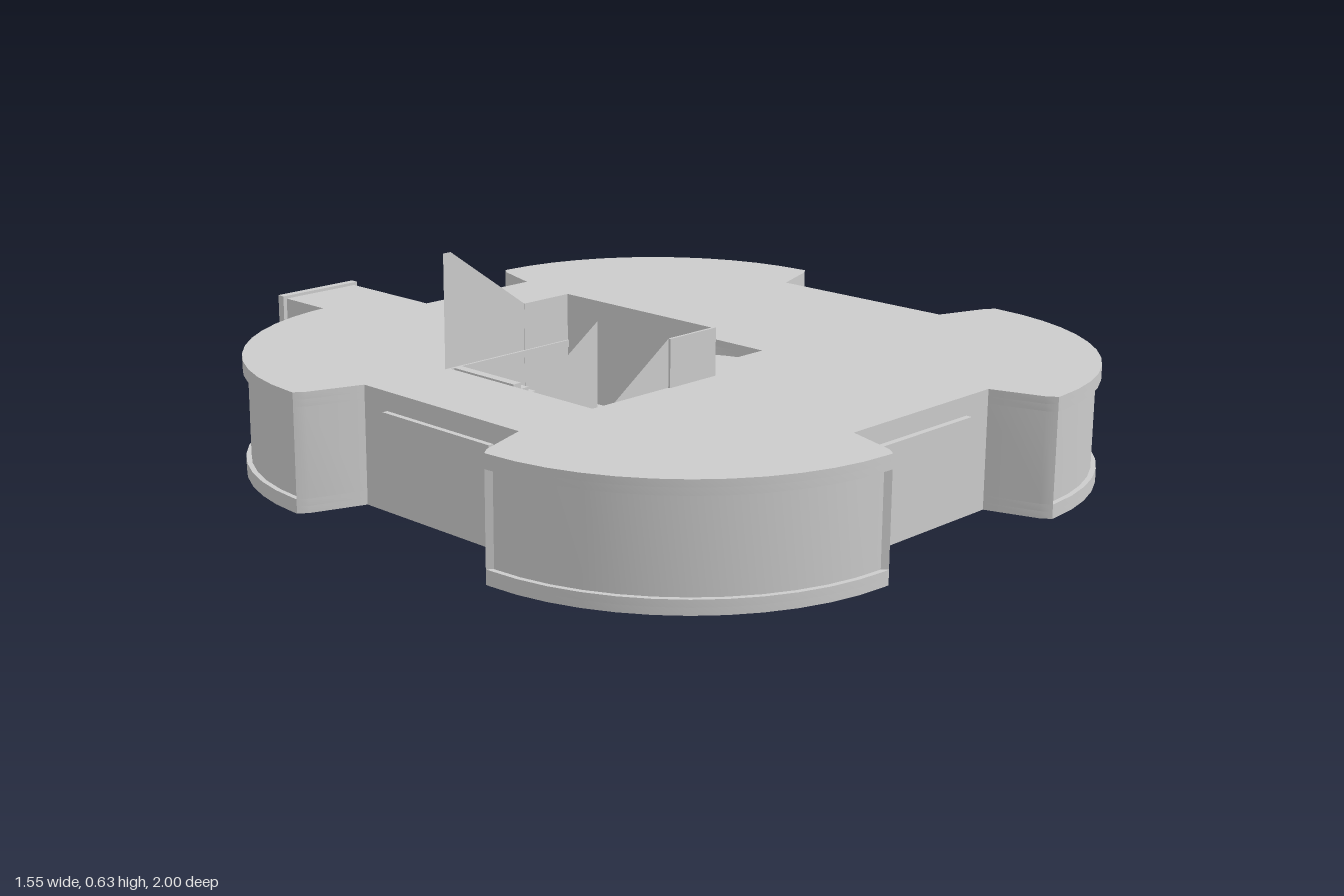
import * as THREE from 'three';
import { toCreasedNormals } from 'three/addons/utils/BufferGeometryUtils.js';

const MID_Z = 0.205; // centre of the building plan
const LOBE = 0.515, PANE = 0.504;
const STAIR_HOLE = [-0.44, -0.1, 0.01, 0.42];
const SHAFT_HOLE = [-0.08, 0.12, 0.07, 0.36];

const grey = new THREE.MeshStandardMaterial({ color: 0xcccccc });
const thin = new THREE.MeshStandardMaterial({ color: 0xcccccc, side: THREE.DoubleSide });

export function createModel() {
  const model = new THREE.Group();

  function add(name, geometry, material = grey) {
    const mesh = new THREE.Mesh(geometry, material);
    mesh.name = name;
    model.add(mesh);
    return mesh;
  }

  // box given by its limits
  function box(name, x0, x1, y0, y1, z0, z1) {
    const mesh = add(name, new THREE.BoxGeometry(x1 - x0, y1 - y0, z1 - z0));
    mesh.position.set((x0 + x1) / 2, (y0 + y1) / 2, (z0 + z1) / 2);
  }

  // clover plan with four rounded lobes and four flat notches
  function plan(r, inset = 0) {
    const quarter = [[0.64 - inset, 0.225], [0.755 - inset, 0.265], [0.26 + LOBE - inset, 0.28]];
    for (let i = 0; i <= 12; i++) {
      const a = 0.02 + (i / 12) * (Math.PI / 2 - 0.04);
      quarter.push([0.26 + (r - inset) * Math.cos(a), 0.28 + (r - inset) * Math.sin(a)]);
    }
    quarter.push([0.26, 0.28 + LOBE - inset], [0.245, 0.775 - inset], [0.21, 0.665 - inset]);
    const points = [];
    [[1, 1], [-1, 1], [-1, -1], [1, -1]].forEach(([sx, sz]) => {
      const part = quarter.map(([x, z]) => new THREE.Vector2(x * sx, z * sz));
      points.push(...(sx * sz < 0 ? part.reverse() : part));
    });
    return points;
  }

  const rect = ([x0, x1, z0, z1]) => [[x0, z0], [x1, z0], [x1, z1], [x0, z1]]
    .map(([x, z]) => new THREE.Vector2(x, MID_Z - z));

  // horizontal layer of the building between two heights
  function layer(name, outline, holes, y0, y1) {
    const shape = new THREE.Shape(outline);
    holes.forEach((h) => shape.holes.push(new THREE.Path(h)));
    const geo = new THREE.ExtrudeGeometry(shape, { depth: y1 - y0, bevelEnabled: false });
    geo.rotateX(-Math.PI / 2).translate(0, y0, MID_Z);
    add(name, toCreasedNormals(geo, 0.4));
  }

  // floor, roof and outer walls; the lobes carry slightly recessed windows
  const openings = [rect(STAIR_HOLE), rect(SHAFT_HOLE)];
  const inside = [plan(PANE, 0.03)];
  layer('floor', plan(LOBE), openings, 0.15, 0.165);
  layer('lowerWall', plan(LOBE), inside, 0.165, 0.18);
  layer('windowWall', plan(PANE), inside, 0.18, 0.37);
  layer('upperWall', plan(LOBE), inside, 0.37, 0.385);
  layer('roof', plan(LOBE), openings, 0.385, 0.4);

  // walls lining the light shaft
  const [sx0, sx1, sz0, sz1] = SHAFT_HOLE;
  layer('shaftWall', rect([sx0 - 0.01, sx1 + 0.01, sz0 - 0.01, sz1 + 0.01]), [rect(SHAFT_HOLE)], 0.145, 0.398);

  // shallow panels in the notches
  box('frontPanel', -0.14, 0.14, 0.17, 0.36, 0.865, 0.883);
  for (const s of [-1, 1]) {
    box('sidePanel', Math.min(s * 0.635, s * 0.652), Math.max(s * 0.635, s * 0.652), 0.17, 0.36, 0.05, 0.36);
  }

  // U-shaped staircase: up the front flight, over the landing, back along the rear flight
  const STEPS = 10, run = 0.2 / STEPS, rise = 0.125 / STEPS;
  for (let i = 0; i < STEPS; i++) {
    const x = -0.43 + i * run;
    const yFront = 0.15 + (i + 1) * rise;
    const yBack = 0.4 - i * rise;
    box('frontStep', x, x + run, yFront - 0.022, yFront, 0.225, 0.415);
    box('backStep', x, x + run, yBack - 0.022, yBack, 0.005, 0.188);
  }
  box('landing', -0.23, -0.1, 0.255, 0.275, 0.005, 0.42);

  // sheet walls beside the flights
  function sheet(name, z, corners) {
    const shape = new THREE.Shape(corners.map(([x, y]) => new THREE.Vector2(x, y)));
    add(name, new THREE.ShapeGeometry(shape).translate(0, 0, z), thin);
  }
  sheet('rearStairWall', 0.005, [[-0.45, 0.15], [-0.43, 0.15], [-0.23, 0.01], [-0.23, 0.5], [-0.43, 0.64], [-0.45, 0.64]]);
  sheet('innerStairWallLower', 0.19, [[-0.43, 0.15], [-0.23, 0.01], [-0.23, 0.27], [-0.43, 0.39]]);
  for (const z of [0.222, 0.42]) {
    sheet('frontStairWall', z, [[-0.43, 0.15], [-0.23, 0.25], [-0.23, 0.5], [-0.38, 0.4], [-0.43, 0.365]]);
  }

  // walls around the landing, standing above the roof
  box('landingEndWall', -0.105, -0.098, 0.255, 0.5, 0, 0.425);
  box('landingRearWall', -0.23, -0.1, 0.255, 0.5, 0, 0.006);
  box('landingFrontWall', -0.23, -0.1, 0.255, 0.5, 0.419, 0.425);

  // hollow entrance corridor at the rear
  function tube(name, w, y0, y1, t, z0, z1) {
    const frame = (h, a, b) => [[-h, a], [h, a], [h, b], [-h, b]].map(([x, y]) => new THREE.Vector2(x - 0.005, y));
    const shape = new THREE.Shape(frame(w, y0, y1));
    shape.holes.push(new THREE.Path(frame(w - t, y0 + t, y1 - t)));
    const geo = new THREE.ExtrudeGeometry(shape, { depth: z1 - z0, bevelEnabled: false });
    add(name, geo.translate(0, 0, z0));
  }
  tube('corridor', 0.105, 0.148, 0.325, 0.012, -0.985, -0.55);
  tube('corridorEndFrame', 0.115, 0.138, 0.332, 0.04, -1, -0.98);
  tube('corridorInnerFrame', 0.105, 0.148, 0.325, 0.035, -0.56, -0.548);
  tube('corridorNeck', 0.077, 0.16, 0.315, 0.012, -0.55, -0.455);
  box('corridorDoor', -0.075, 0.065, 0.165, 0.31, -0.475, -0.465);

  return model;
}
